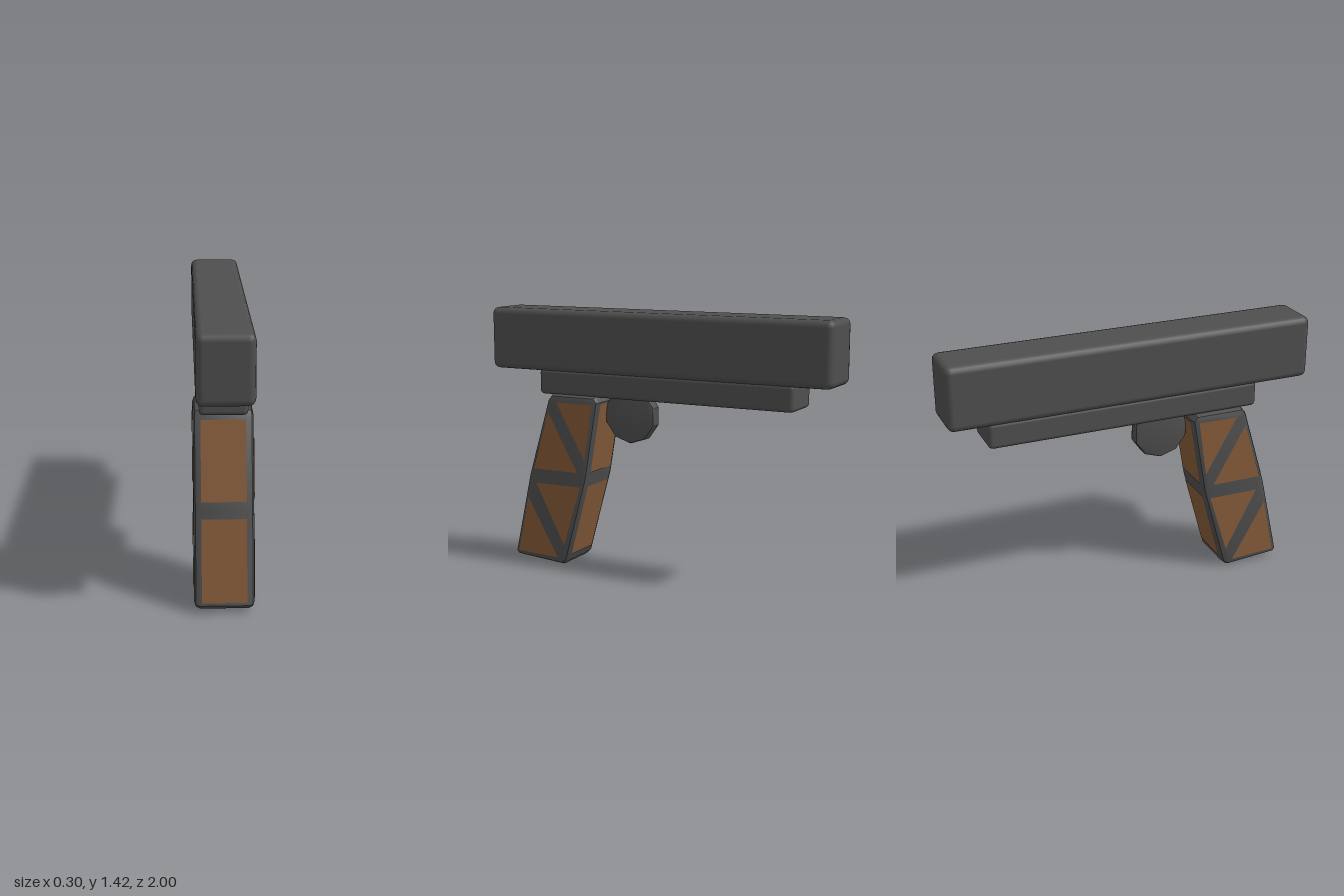
import * as THREE from 'three';
import { RoundedBoxGeometry } from 'three/addons/geometries/RoundedBoxGeometry.js';
import { toCreasedNormals } from 'three/addons/utils/BufferGeometryUtils.js';

const darkMetal = new THREE.MeshStandardMaterial({ color: 0x4f4f4f });
darkMetal.name = 'darkMetal';
const wood = new THREE.MeshStandardMaterial({ color: 0x855b39, side: THREE.DoubleSide });
wood.name = 'wood';

// Grip edge lines as [z, y], bottom to top
const frontEdge = [[0.868, 0.045], [0.766, 0.5], [0.636, 0.93]];
const backEdge = [[0.525, 0.03], [0.393, 0.5], [0.318, 0.93]];

export function createModel() {
  const model = new THREE.Group();
  model.name = 'pistol';

  const add = (name, geometry, material, parent = model) => {
    const mesh = new THREE.Mesh(geometry, material);
    mesh.name = name;
    parent.add(mesh);
    return mesh;
  };

  // Bevelled slab from a side profile of [z, y] points, centred on x = 0
  const slab = (points, width, bevel) => {
    const shape = new THREE.Shape(points.map(([z, y]) => new THREE.Vector2(z, y)));
    const geometry = new THREE.ExtrudeGeometry(shape, {
      depth: width - 2 * bevel, bevelSize: bevel, bevelThickness: bevel,
      bevelOffset: -bevel, bevelSegments: 2,
    });
    geometry.translate(0, 0, bevel - width / 2);
    geometry.rotateY(-Math.PI / 2);
    return toCreasedNormals(geometry, 0.6);
  };

  // Flat panel from three or four [x, y, z] corners
  const panel = (corners) => {
    const geometry = new THREE.BufferGeometry();
    geometry.setAttribute('position', new THREE.Float32BufferAttribute(corners.flat(), 3));
    geometry.setIndex(corners.length === 4 ? [0, 1, 2, 0, 2, 3] : [0, 1, 2]);
    geometry.computeVertexNormals();
    return geometry;
  };

  // Slide and frame
  add('slide', new RoundedBoxGeometry(0.274, 0.338, 2, 2, 0.035), darkMetal)
    .position.set(0, 1.253, 0);
  add('frame', new RoundedBoxGeometry(0.236, 0.14, 1.495, 2, 0.022), darkMetal)
    .position.set(0, 1.025, -0.047);

  // Ten-sided trigger guard
  const guard = [];
  for (let i = 0; i < 10; i++) {
    const a = (i / 10) * Math.PI * 2;
    guard.push([0.18 + 0.155 * Math.sin(a), 0.86 - 0.155 * Math.cos(a)]);
  }
  add('triggerGuard', slab(guard, 0.07, 0.012), darkMetal);

  // Bent grip with clipped corners
  const grip = new THREE.Group();
  grip.name = 'grip';
  model.add(grip);
  const profile = [
    ...frontEdge, [0.61, 0.96], [0.34, 0.96],
    ...[...backEdge].reverse(), [0.555, 0.003], [0.85, 0.024],
  ];
  add('gripBody', slab(profile, 0.294, 0.03), darkMetal, grip);

  // Triangular inlays on both sides
  const triangles = [
    [[0.574, 0.92], [0.35, 0.92], [0.397, 0.61]],
    [[0.627, 0.863], [0.729, 0.538], [0.445, 0.538]],
    [[0.713, 0.458], [0.429, 0.458], [0.536, 0.118]],
    [[0.767, 0.37], [0.836, 0.054], [0.579, 0.043]],
  ];
  for (const side of [1, -1]) {
    for (const triangle of triangles) {
      const corners = triangle.map(([z, y]) => [side * 0.15, y, z]);
      if (side > 0) corners.reverse();
      // Order the corners so the panel faces outwards
      const geometry = panel(corners);
      if (geometry.attributes.normal.getX(0) * side < 0) {
        geometry.setIndex([0, 2, 1]);
        geometry.computeVertexNormals();
      }
      add(side > 0 ? 'leftInlay' : 'rightInlay', geometry, wood, grip);
    }
  }

  // Front and back inlays above and below the middle band
  const edgeZ = (edge, y) => {
    const [a, b] = y < 0.5 ? [edge[0], edge[1]] : [edge[1], edge[2]];
    return a[0] + ((b[0] - a[0]) * (y - a[1])) / (b[1] - a[1]);
  };
  for (const [name, edge, s] of [['frontInlay', frontEdge, 1], ['backInlay', backEdge, -1]]) {
    for (const [low, high] of [[0.06, 0.46], [0.54, 0.92]]) {
      const zLow = edgeZ(edge, low) + s * 0.004;
      const zHigh = edgeZ(edge, high) + s * 0.004;
      const w = 0.11 * s;
      add(name, panel([[-w, low, zLow], [w, low, zLow], [w, high, zHigh], [-w, high, zHigh]]), wood, grip);
    }
  }

  // Inlay under the grip
  add('bottomInlay', panel([
    [-0.113, 0.0205, 0.84], [-0.113, 0.0005, 0.56], [0.113, 0.0005, 0.56], [0.113, 0.0205, 0.84],
  ]), wood, grip);

  return model;
}
